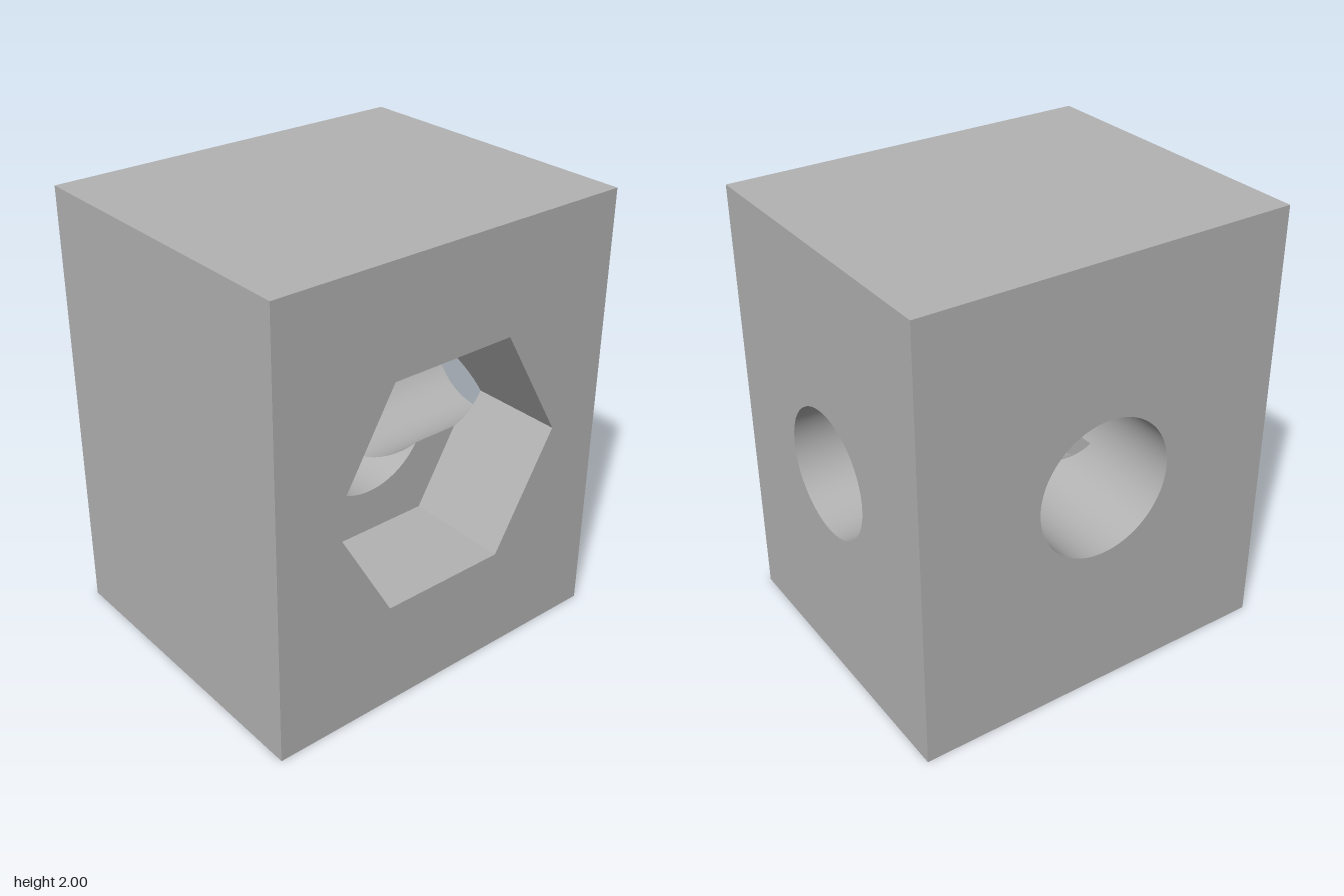
import * as THREE from 'three';

const W = 0.857, H = 1, D = 0.714;   // half sizes of the block
const R = 0.316;                     // through hole along z
const B = 0.286;                     // side bore along x, ending at x = -B
const HEX = 0.595, FLOOR = 0.23;     // nut pocket corner radius and floor depth
const E = Math.sqrt(B * B - FLOOR * FLOOR);   // half height of the bore at the pocket floor
const Y_END = Math.sqrt(R * R - B * B);       // half height of the through hole at the bore end
const half = (r, y) => Math.sqrt(Math.max(0, r * r - y * y));
const hexEdge = y => HEX - Math.abs(y) / Math.sqrt(3);
const V = (x, y, z) => new THREE.Vector3(x, y, z);

export function createModel() {
  const grey = new THREE.MeshStandardMaterial({ color: 0xb3b3b3 });
  grey.name = 'plain grey';
  const model = new THREE.Group();
  model.name = 'drilledBlock';
  model.position.y = H;

  const add = (name, geometry) => {
    const mesh = new THREE.Mesh(geometry, grey);
    mesh.name = name;
    model.add(mesh);
    return mesh;
  };

  // Ruled surface between two edge curves, facing along normal(u)
  function strip(name, u0, u1, low, high, normal, n = 24) {
    const pos = [], nor = [], index = [];
    for (let i = 0; i <= n; i++) {
      const u = u0 + (u1 - u0) * i / n;
      const k = normal(u);
      pos.push(...low(u).toArray(), ...high(u).toArray());
      nor.push(...k.toArray(), ...k.toArray());
    }
    const um = (u0 + u1) / 2, a = low(um);
    const along = low(um + (u1 - u0) / n).sub(a), across = high(um).sub(a);
    const forward = along.cross(across).dot(normal(um)) > 0;
    for (let i = 0; i < n; i++) {
      const p = 2 * i;
      index.push(...(forward ? [p, p + 2, p + 1, p + 1, p + 2, p + 3]
        : [p, p + 1, p + 2, p + 1, p + 3, p + 2]));
    }
    const g = new THREE.BufferGeometry();
    g.setAttribute('position', new THREE.Float32BufferAttribute(pos, 3));
    g.setAttribute('normal', new THREE.Float32BufferAttribute(nor, 3));
    g.setIndex(index);
    add(name, g);
  }

  // Outer faces, with their openings
  const circle = r => new THREE.Path().absarc(0, 0, r, 0, Math.PI * 2, true);
  const corners = [0, 1, 2, 3, 4, 5].map(k =>
    new THREE.Vector2(HEX * Math.cos(k * Math.PI / 3), HEX * Math.sin(k * Math.PI / 3)));
  function panel(name, w, h, d, rx, ry, hole) {
    const s = new THREE.Shape([[-w, -h], [w, -h], [w, h], [-w, h]].map(p => new THREE.Vector2(...p)));
    if (hole) s.holes.push(hole);
    const g = new THREE.ShapeGeometry(s, 48).translate(0, 0, d).rotateX(rx).rotateY(ry);
    add(name, g);
  }
  panel('frontFace', W, H, D, 0, 0, new THREE.Path(corners));
  panel('backFace', W, H, D, 0, Math.PI, circle(R));
  panel('boredSideFace', D, H, W, 0, Math.PI / 2, circle(B));
  panel('plainSideFace', D, H, W, 0, -Math.PI / 2);
  panel('topFace', W, D, H, -Math.PI / 2, 0);
  panel('bottomFace', W, D, H, Math.PI / 2, 0);

  // Pocket walls; the two on the bored side are notched by the bore
  for (let k = 0; k < 6; k++) {
    const a = corners[k], b = corners[(k + 1) % 6], cut = k === 0 || k === 5;
    const at = (u, z) => V(a.x + (b.x - a.x) * u, a.y + (b.y - a.y) * u, z);
    const angle = (k + 0.5) * Math.PI / 3;
    strip('pocketWall', 0, 1,
      u => at(u, cut ? Math.max(FLOOR, half(B, at(u, 0).y)) : FLOOR),
      u => at(u, D),
      () => V(-Math.cos(angle), -Math.sin(angle), 0), cut ? 60 : 2);
  }

  const aE = Math.asin(E / R), aB = Math.asin(B / R), aEnd = Math.acos(-B / R);
  const tE = Math.acos(FLOOR / B), tEnd = Math.PI - Math.asin(Y_END / B);
  for (const m of [1, -1]) {
    // Half of the pocket floor, around the hole and the bore slot
    const pts = [[-HEX, 0]];
    const arc = (from, to) => {
      for (let i = 0; i <= 32; i++) {
        const t = from + (to - from) * i / 32;
        pts.push([R * Math.cos(t), R * Math.sin(t)]);
      }
    };
    arc(Math.PI, aEnd);
    pts.push([-B, E]);
    arc(Math.PI - aE, aE);
    pts.push([hexEdge(E), E], [corners[1].x, corners[1].y], [corners[2].x, corners[2].y]);
    const floor = new THREE.Shape(pts.map(([x, y]) => new THREE.Vector2(x, m * y)));
    add('pocketFloor', new THREE.ShapeGeometry(floor).translate(0, 0, FLOOR));

    // Through hole wall, interrupted where the bore crosses it
    const stops = [0, aE, aB, Math.PI - aB, Math.PI - aE, aEnd, Math.PI];
    const onHole = (t, z) => V(R * Math.cos(t), m * R * Math.sin(t), z);
    const inHole = t => V(-Math.cos(t), -m * Math.sin(t), 0);
    for (let i = 0; i < 6; i++) {
      const t0 = stops[i], t1 = stops[i + 1], y = R * Math.sin((t0 + t1) / 2);
      const cut = i < 5 && y < B;
      const c = t => half(B, R * Math.sin(t));
      strip('throughHoleWall', t0, t1, t => onHole(t, -D), t => onHole(t, cut ? -c(t) : FLOOR), inHole);
      if (cut && y > E)
        strip('throughHoleWall', t0, t1, t => onHole(t, Math.min(FLOOR, c(t))), t => onHole(t, FLOOR), inHole);
    }

    // Side bore wall, from the pocket or through hole out to the side face
    const onBore = (t, x) => V(x, m * B * Math.sin(t), B * Math.cos(t));
    const inBore = t => V(0, -m * Math.sin(t), -Math.cos(t));
    const holeX = t => half(R, B * Math.sin(t));
    strip('boreWall', 0, tE, t => onBore(t, hexEdge(B * Math.sin(t))), t => onBore(t, W), inBore);
    strip('boreWall', tE, Math.PI, t => onBore(t, holeX(t)), t => onBore(t, W), inBore, 48);
    strip('boreTipWall', tE, tEnd, t => onBore(t, -B), t => onBore(t, -holeX(t)), inBore, 48);

    // Flat end of the bore beyond the through hole
    strip('boreEnd', Y_END, B,
      y => V(-B, m * y, -half(B, y)),
      y => V(-B, m * y, Math.min(FLOOR, half(B, y))),
      () => V(1, 0, 0), 32);
  }
  const group = new THREE.Group();
  group.name = 'model';
  group.add(model);
  return group;
}
